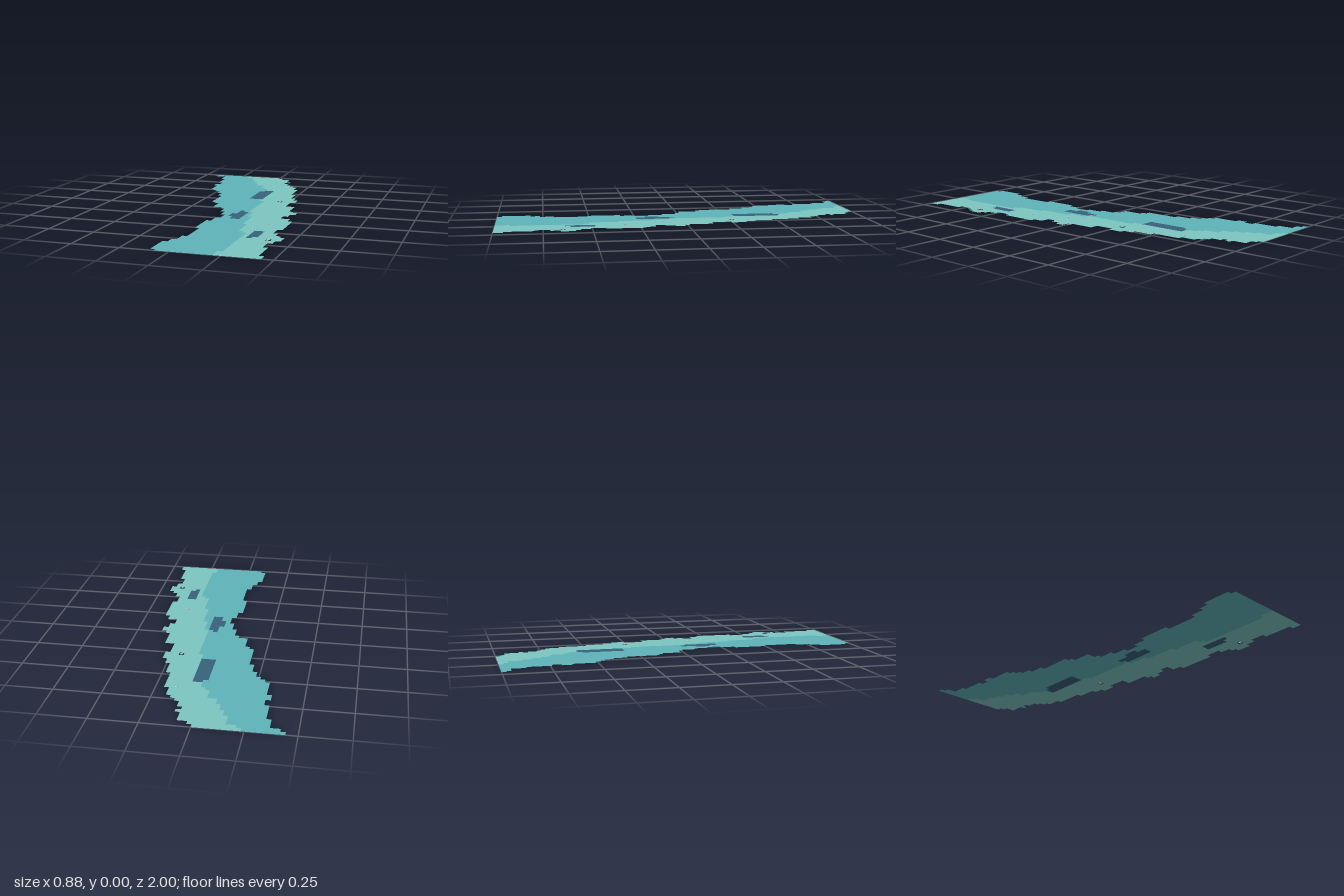
import * as THREE from 'three';

// The river is laid out on square cells: 77 rows from back to front, x = 0 in the middle.
const ROWS = 77, CELL = 2 / ROWS;

// Stepped outlines as [x cell, last row] runs
const leftBank = [[-17, 1], [-16, 2], [-14, 5], [-13, 10], [-12, 12], [-13, 14], [-12, 19], [-11, 20], [-10, 21],
  [-9, 23], [-8, 26], [-7, 33], [-6, 34], [-5, 38], [-3, 39], [-2, 42], [-1, 45], [0, 48], [-1, 51], [-2, 58],
  [-1, 65], [-2, 68], [-3, 70], [-4, 76], [-3, 77]];
const divide = [[-9, 1], [-8, 2], [-6, 5], [-5, 7], [-4, 9], [-3, 11], [-1, 14], [0, 15], [1, 17], [3, 29],
  [4, 41], [5, 45], [6, 52], [7, 58], [8, 59], [9, 74], [8, 77]];
const rightBank = [[0, 1], [1, 2], [3, 5], [4, 6], [3, 7], [4, 9], [5, 10], [6, 11], [7, 14], [8, 20], [9, 24],
  [10, 26], [11, 29], [10, 33], [12, 38], [13, 39], [14, 41], [13, 43], [12, 45], [14, 47], [15, 55], [14, 58],
  [15, 60], [16, 61], [17, 64], [16, 66], [15, 69], [16, 75], [17, 77]];

// Dark pools as [x0, x1, row0, row1]
const pools = [
  [[1, 3, 17, 18], [0, 3, 18, 27]],
  [[2, 3, 40, 41], [2, 4, 41, 43], [1, 4, 43, 46], [2, 4, 46, 48]],
  [[10, 12, 57, 62], [10, 11, 62, 63]],
];
// Single open cells
const gaps = [[7, 8, 28, 29], [14, 15, 63, 64]];
// Small stones as [x, z]
const stones = [[0.148, -0.63], [0.195, -0.262], [0.21, 0.115], [0.282, 0.323], [0.325, 0.012], [0.377, 0.65]];

const edgeAt = (runs, row) => runs.find(([, end]) => row < end)[0];

// Flat sheet made of cell rectangles
function sheet(name, rects, color) {
  const pos = [], normals = [], index = [];
  for (const [x0, x1, r0, r1] of rects) {
    const n = pos.length / 3;
    for (const [x, r] of [[x0, r0], [x0, r1], [x1, r1], [x1, r0]]) {
      pos.push(x * CELL, 0, r * CELL - 1);
      normals.push(0, 1, 0);
    }
    index.push(n, n + 1, n + 2, n, n + 2, n + 3);
  }
  const geo = new THREE.BufferGeometry();
  geo.setAttribute('position', new THREE.Float32BufferAttribute(pos, 3));
  geo.setAttribute('normal', new THREE.Float32BufferAttribute(normals, 3));
  geo.setIndex(index);
  const mesh = new THREE.Mesh(geo, new THREE.MeshStandardMaterial({ color, side: THREE.DoubleSide }));
  mesh.name = name;
  return mesh;
}

// Rows between two outlines, leaving out the pools and gaps
function waterRows(from, to) {
  const cuts = [...pools.flat(), ...gaps], rects = [];
  for (let r = 0; r < ROWS; r++) {
    let x = edgeAt(from, r);
    const end = edgeAt(to, r);
    const here = cuts.filter(c => r >= c[2] && r < c[3] && c[0] >= x && c[1] <= end);
    for (const c of here.sort((a, b) => a[0] - b[0])) {
      if (c[0] > x) rects.push([x, c[0], r, r + 1]);
      x = c[1];
    }
    if (end > x) rects.push([x, end, r, r + 1]);
  }
  return rects;
}

export function createModel() {
  const river = new THREE.Group();
  river.name = 'river';

  // Water surface in two tones
  river.add(sheet('deepWater', waterRows(leftBank, divide), 0x5fb4b9));
  river.add(sheet('shallowWater', waterRows(divide, rightBank), 0x7dc6c1));

  // Dark pools set into the water
  pools.forEach((rects, i) => river.add(sheet(`darkPool${i + 1}`, rects, 0x37637c)));

  // Tiny stones lying on the surface
  const stoneGeo = new THREE.BoxGeometry(0.013, 0.004, 0.009);
  const stoneMat = new THREE.MeshStandardMaterial({ color: 0xcccccc });
  stones.forEach(([x, z], i) => {
    const stone = new THREE.Mesh(stoneGeo, stoneMat);
    stone.name = `stone${i + 1}`;
    stone.position.set(x, 0.002, z);
    river.add(stone);
  });
  return river;
}
